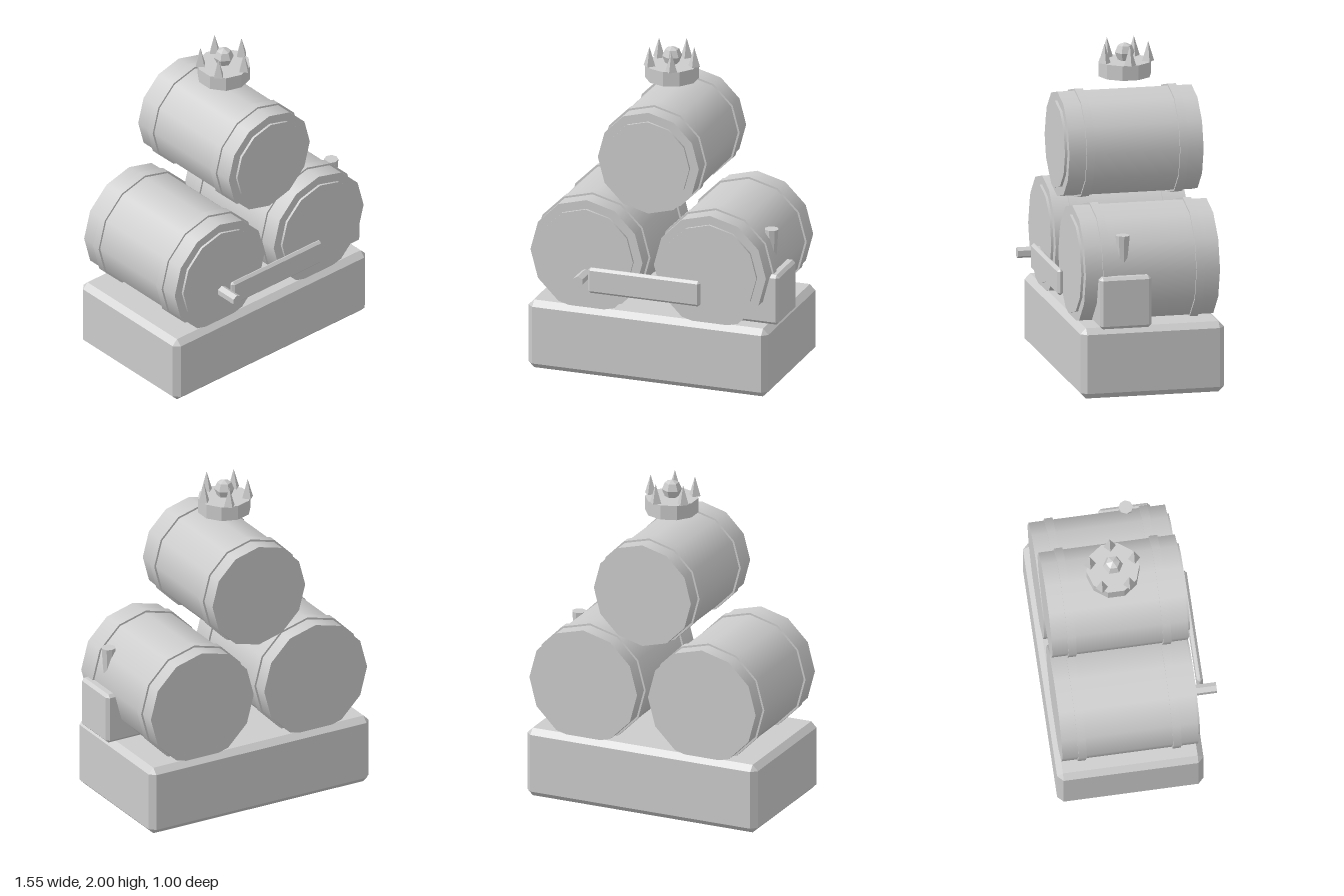
import * as THREE from 'three';
import { ConvexGeometry } from 'three/addons/geometries/ConvexGeometry.js';

export function createModel() {
  const model = new THREE.Group();
  model.name = 'barrelStack';

  // One grey in a smooth version and a faceted geometry helper
  const grey = new THREE.MeshStandardMaterial({ color: 0xcccccc });
  grey.name = 'grey';

  function add(parent, name, geometry, x = 0, y = 0, z = 0) {
    const mesh = new THREE.Mesh(geometry, grey);
    mesh.name = name;
    mesh.position.set(x, y, z);
    parent.add(mesh);
    return mesh;
  }

  function faceted(geometry) {
    const flat = geometry.toNonIndexed();
    flat.computeVertexNormals();
    return flat;
  }

  // Box with every edge and corner cut by a single chamfer
  function chamferBox(w, h, d, c) {
    const points = [];
    for (const sx of [-1, 1]) for (const sy of [-1, 1]) for (const sz of [-1, 1]) {
      const x = w / 2, y = h / 2, z = d / 2;
      points.push(
        new THREE.Vector3(sx * x, sy * (y - c), sz * (z - c)),
        new THREE.Vector3(sx * (x - c), sy * y, sz * (z - c)),
        new THREE.Vector3(sx * (x - c), sy * (y - c), sz * z)
      );
    }
    return new ConvexGeometry(points);
  }

  // Cylinder lying along z
  function drum(radius, length, sides) {
    return new THREE.CylinderGeometry(radius, radius, length, sides).rotateX(Math.PI / 2);
  }

  // Twelve-sided barrel with two hoops and a raised front lid
  function addBarrel(name, x, y, radius) {
    const barrel = new THREE.Group();
    barrel.name = name;
    barrel.position.set(x, y, 0);
    // turned so that a corner points straight up
    add(barrel, 'body', drum(radius, 0.82, 12), 0, 0, -0.06);
    for (const z of [0.22, -0.35]) add(barrel, 'hoop', drum(radius + 0.012, 0.05, 12), 0, 0, z);
    add(barrel, 'lid', drum(radius - 0.055, 0.03, 12), 0, 0, 0.35);
    model.add(barrel);
  }

  // Plinth
  add(model, 'base', chamferBox(1.52, 0.43, 0.88, 0.035), -0.02, 0.215, -0.06);

  // Barrels
  addBarrel('leftBarrel', 0.37, 0.75, 0.355);
  addBarrel('rightBarrel', -0.412, 0.75, 0.355);
  addBarrel('topBarrel', -0.02, 1.39, 0.32);

  // Front plaque and peg
  add(model, 'plaque', chamferBox(0.71, 0.16, 0.036, 0.015), -0.022, 0.626, 0.412);
  add(model, 'peg', faceted(drum(0.033, 0.16, 6)), -0.41, 0.642, 0.425);

  // Side box with its tapered handle
  add(model, 'sideBox', chamferBox(0.3, 0.315, 0.314, 0.018), 0.625, 0.588, 0.115);
  add(model, 'handle', faceted(new THREE.CylinderGeometry(0.043, 0.027, 0.24, 8)), 0.675, 0.86, 0.114);

  // Floating crown
  const crown = new THREE.Group();
  crown.name = 'crown';
  crown.position.set(-0.02, 1.79, -0.062);
  add(crown, 'crownBand', faceted(new THREE.CylinderGeometry(0.16, 0.16, 0.09, 10)), 0, 0.045, 0);
  for (let i = 0; i < 5; i++) {
    const a = (i * 2 * Math.PI) / 5;
    add(crown, 'crownSpike', faceted(new THREE.ConeGeometry(0.037, 0.12, 4)),
      0.14 * Math.cos(a), 0.15, 0.14 * Math.sin(a));
  }
  add(crown, 'jewel', faceted(new THREE.SphereGeometry(0.06, 6, 4).rotateY(Math.PI / 2)), 0, 0.14, 0);
  model.add(crown);

  return model;
}
